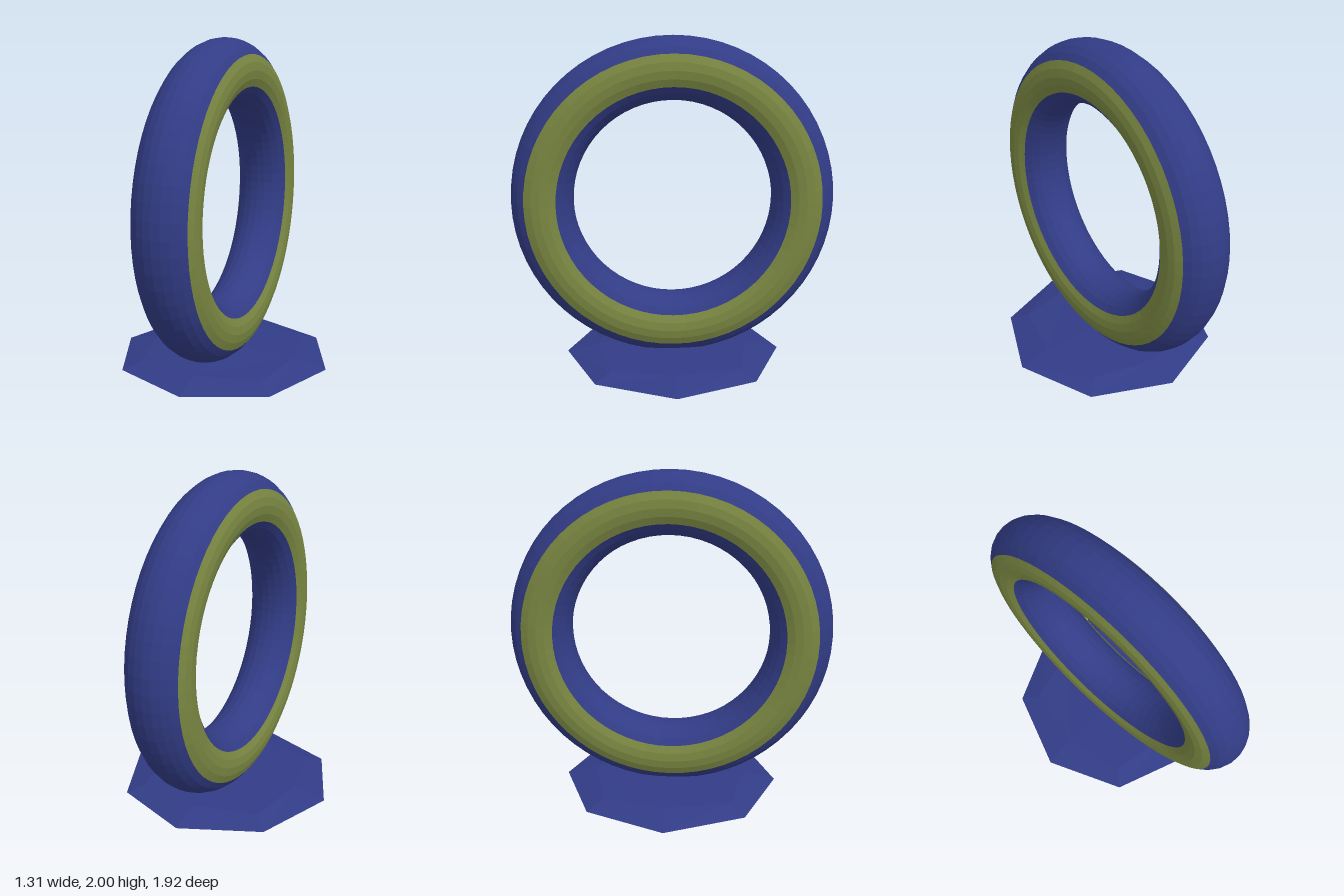
import * as THREE from 'three';

const blue = new THREE.MeshStandardMaterial({ color: 0x323c86, flatShading: true });
blue.name = 'deep blue';
const olive = new THREE.MeshStandardMaterial({ color: 0x7a8742, flatShading: true });
olive.name = 'olive green';

const RING_RADIUS = 0.775, TUBE_RADIUS = 0.185;

// One band of the ring's tube, swept between two angles (degrees) of its cross-section
function ringBand(name, from, to, material) {
  const points = [];
  for (let a = from; a <= to; a += 15) {
    const t = THREE.MathUtils.degToRad(a);
    points.push(new THREE.Vector2(RING_RADIUS + TUBE_RADIUS * Math.cos(t), TUBE_RADIUS * Math.sin(t)));
  }
  const mesh = new THREE.Mesh(new THREE.LatheGeometry(points, 64), material);
  mesh.name = name;
  return mesh;
}

// Faceted foot: a coarse cube pushed out to a sphere, then flattened
function footGeometry() {
  const geometry = new THREE.BoxGeometry(2, 2, 2, 2, 2, 2);
  const position = geometry.attributes.position;
  const v = new THREE.Vector3();
  for (let i = 0; i < position.count; i++) {
    v.fromBufferAttribute(position, i).normalize();
    position.setXYZ(i, v.x * 0.655, v.y * 0.066, v.z * 0.655);
  }
  geometry.computeVertexNormals();
  return geometry;
}

export function createModel() {
  const model = new THREE.Group();
  model.name = 'ringOnStand';

  // Upright ring with an olive stripe on each side
  const ring = new THREE.Group();
  ring.name = 'ring';
  ring.add(
    ringBand('outerBand', -60, 60, blue),
    ringBand('leftStripe', 60, 120, olive),
    ringBand('innerBand', 120, 240, blue),
    ringBand('rightStripe', 240, 300, olive)
  );
  ring.rotation.z = -Math.PI / 2;
  ring.position.y = 1.04;
  model.add(ring);

  // Flat foot under the ring
  const foot = new THREE.Mesh(footGeometry(), blue);
  foot.name = 'foot';
  foot.position.y = 0.066;
  model.add(foot);

  return model;
}
